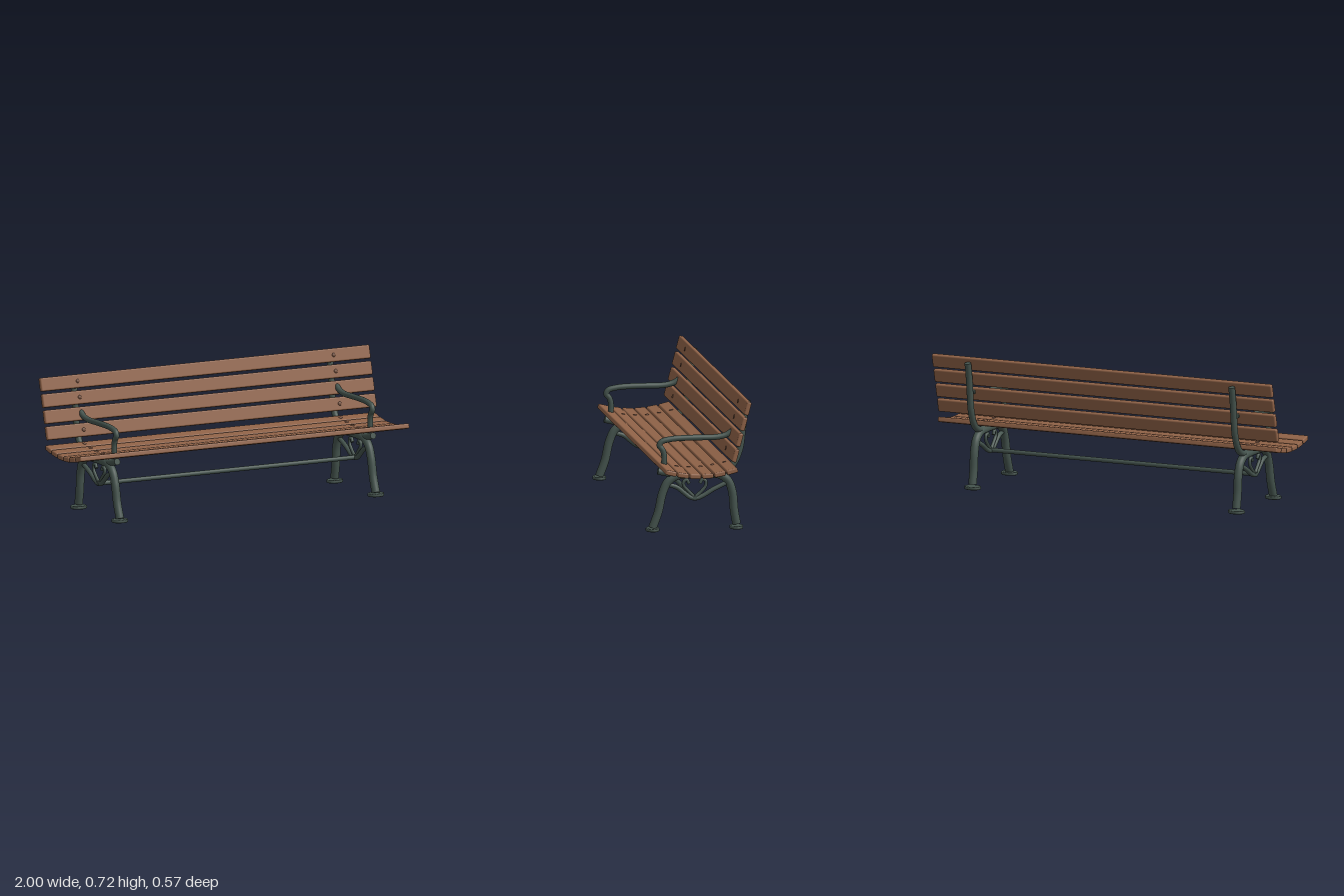
import * as THREE from 'three';
import { mergeGeometries } from 'three/addons/utils/BufferGeometryUtils.js';
import { RoundedBoxGeometry } from 'three/addons/geometries/RoundedBoxGeometry.js';

const FRAME_X = 0.777;

const material = (name, color) => {
  const m = new THREE.MeshStandardMaterial({ color });
  m.name = name;
  return m;
};

// Capped round bar through [z, y] points in the plane x = 0
function barGeometry(points, radius, segments = 48) {
  const curve = new THREE.CatmullRomCurve3(points.map(([z, y]) => new THREE.Vector3(0, y, z)));
  const parts = [new THREE.TubeGeometry(curve, segments, radius, 18)];
  for (const t of [0, 1]) {
    const outward = curve.getTangentAt(t).multiplyScalar(t ? 1 : -1);
    const cap = new THREE.CircleGeometry(radius, 18);
    cap.applyQuaternion(new THREE.Quaternion().setFromUnitVectors(new THREE.Vector3(0, 0, 1), outward));
    const p = curve.getPointAt(t);
    parts.push(cap.translate(p.x, p.y, p.z));
  }
  return mergeGeometries(parts);
}

export function createModel() {
  const group = new THREE.Group();
  group.name = 'parkBench';
  const wood = material('brown wood', 0x8f6247);
  const iron = material('dark green iron', 0x44534d);
  const bolt = material('bolt brown', 0x6e4c3a);

  const add = (parent, name, geometry, mat, x = 0, y = 0, z = 0) => {
    const mesh = new THREE.Mesh(geometry, mat);
    mesh.name = name;
    mesh.position.set(x, y, z);
    parent.add(mesh);
    return mesh;
  };

  // Slats: [z, y, tilt in degrees], front edge raised or top leaning back
  const seatSlats = [
    [0.186, 0.348, 14], [0.12, 0.334, 9], [0.054, 0.327, 3],
    [-0.012, 0.327, -3], [-0.078, 0.335, -9], [-0.144, 0.348, -14],
  ];
  const backSlats = [
    [-0.162, 0.432, 15], [-0.184, 0.516, 15], [-0.206, 0.6, 15], [-0.228, 0.684, 15],
  ];
  const seatGeometry = new RoundedBoxGeometry(2, 0.027, 0.061, 3, 0.008);
  const backGeometry = new RoundedBoxGeometry(2, 0.073, 0.026, 3, 0.008);
  const boltGeometry = new THREE.SphereGeometry(0.011, 14, 10);

  const addSlat = (name, geometry, [z, y, tilt], isSeat) => {
    const slat = add(group, name, geometry, wood, 0, y, z);
    slat.rotation.x = THREE.MathUtils.degToRad(-tilt);
    for (const side of [-1, 1]) {
      const head = add(slat, 'bolt', boltGeometry, bolt, side * FRAME_X, isSeat ? 0.012 : 0, isSeat ? 0 : 0.012);
      head.scale.set(1, isSeat ? 0.55 : 1, isSeat ? 1 : 0.55);
    }
  };
  seatSlats.forEach((s) => addSlat('seatSlat', seatGeometry, s, true));
  backSlats.forEach((s) => addSlat('backSlat', backGeometry, s, false));

  // Iron bars of one side frame
  const bars = {
    legArch: barGeometry([
      [0.247, 0.018], [0.217, 0.1], [0.194, 0.2], [0.165, 0.262], [0.115, 0.294], [0.05, 0.3],
      [-0.06, 0.3], [-0.115, 0.294], [-0.16, 0.262], [-0.184, 0.2], [-0.194, 0.1], [-0.207, 0.026],
    ], 0.0225, 80),
    seatAndBackRail: barGeometry([
      [0.219, 0.322], [0.15, 0.307], [0.07, 0.299], [-0.03, 0.298], [-0.115, 0.306],
      [-0.18, 0.338], [-0.222, 0.42], [-0.24, 0.54], [-0.249, 0.61], [-0.265, 0.692],
    ], 0.0178, 80),
    armrest: barGeometry([
      [0.185, 0.355], [0.185, 0.41], [0.193, 0.437], [0.21, 0.46], [0.2, 0.48], [0.15, 0.493],
      [0.08, 0.497], [0, 0.497], [-0.1, 0.497], [-0.15, 0.507], [-0.185, 0.526], [-0.205, 0.528],
    ], 0.0152, 80),
    lowerBrace: barGeometry([
      [0.16, 0.247], [0.115, 0.232], [0.075, 0.2], [0.045, 0.177], [0.012, 0.17],
      [-0.025, 0.183], [-0.08, 0.215], [-0.155, 0.25],
    ], 0.0125),
    frontScroll: barGeometry([
      [0.02, 0.175], [0.055, 0.212], [0.078, 0.24], [0.078, 0.262], [0.062, 0.271], [0.05, 0.25],
    ], 0.0092),
    rearScroll: barGeometry([
      [0.015, 0.178], [-0.02, 0.21], [-0.04, 0.236], [-0.04, 0.262], [-0.023, 0.271], [-0.009, 0.25],
    ], 0.0092),
  };

  // Bevelled oval foot plate
  const footGeometry = new THREE.LatheGeometry(
    [[0, 0], [0.032, 0], [0.036, 0.003], [0.036, 0.014], [0.033, 0.018], [0, 0.018]]
      .map(([r, y]) => new THREE.Vector2(r, y)), 32);
  footGeometry.scale(1.28, 1, 1);

  for (const side of [-1, 1]) {
    const frame = new THREE.Group();
    frame.name = side > 0 ? 'leftFrame' : 'rightFrame';
    frame.position.x = side * FRAME_X;
    group.add(frame);
    for (const [name, geometry] of Object.entries(bars)) add(frame, name, geometry, iron);
    add(frame, 'frontFoot', footGeometry, iron, 0, 0, 0.247);
    add(frame, 'rearFoot', footGeometry, iron, 0, 0, -0.206);
  }

  // Long bar joining the two frames
  const crossbar = add(group, 'crossbar',
    new THREE.CylinderGeometry(0.012, 0.012, FRAME_X * 2 + 0.026, 18), iron, 0, 0.173, 0.02);
  crossbar.rotation.z = Math.PI / 2;

  return group;
}
